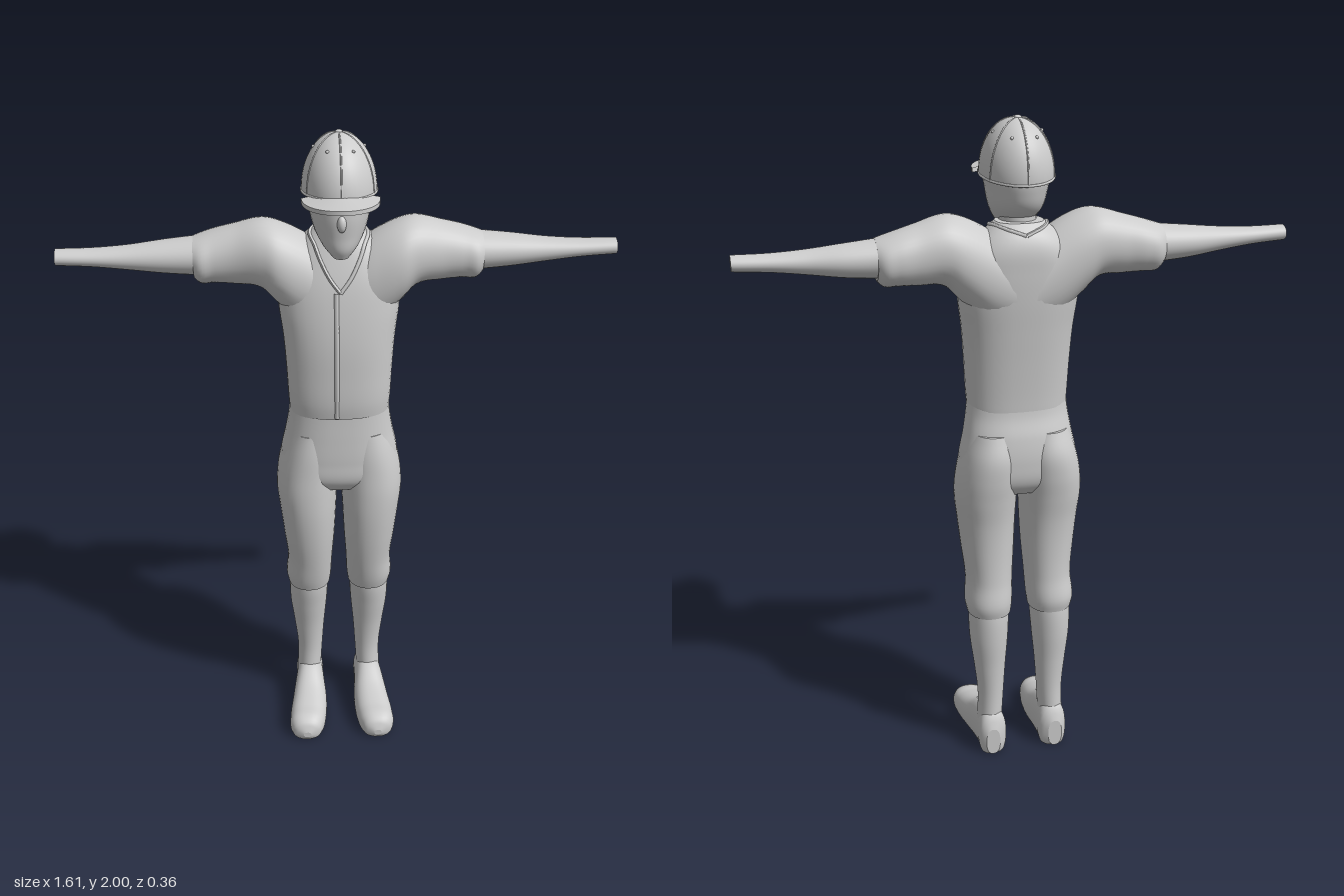
import * as THREE from 'three';

const fabric = new THREE.MeshStandardMaterial({ color: 0xcccccc, side: THREE.DoubleSide });
fabric.name = 'light grey';

// Smoothly interpolates cross-sections [t, a0, a1, b0, b1] at any t
function sampler(sections) {
  const curve = new THREE.CubicInterpolant(
    sections.map(s => s[0]), sections.flatMap(s => s.slice(1)), 4, new Float32Array(4));
  return t => Array.from(curve.evaluate(t));
}

// Skins superelliptic rings along an axis: y uses (x, z), x uses (y, z), z uses (x, y)
function loft(sections, axis, power = 2.2, steps = 36, sides = 36) {
  const at = sampler(sections);
  const t0 = sections[0][0], t1 = sections[sections.length - 1][0];
  const place = {
    x: (t, a, b) => [t, a, b],
    y: (t, a, b) => [a, t, b],
    z: (t, a, b) => [a, b, t],
  }[axis];
  const pos = [], index = [];
  const tri = (a, b, c) => (axis === 'y' ? index.push(a, c, b) : index.push(a, b, c));
  const bend = v => Math.sign(v) * Math.abs(v) ** (2 / power);
  const ring = t => {
    const [a0, a1, b0, b1] = at(t), start = pos.length / 3;
    for (let j = 0; j < sides; j++) {
      const q = j / sides * Math.PI * 2;
      pos.push(...place(t, (a0 + a1) / 2 + bend(Math.cos(q)) * (a1 - a0) / 2,
        (b0 + b1) / 2 + bend(Math.sin(q)) * (b1 - b0) / 2));
    }
    return start;
  };
  for (let i = 0; i <= steps; i++) {
    const r = ring(t0 + (t1 - t0) * i / steps);
    for (let j = 0; i > 0 && j < sides; j++) {
      const k = (j + 1) % sides, p = r - sides;
      tri(p + j, p + k, r + k);
      tri(p + j, r + k, r + j);
    }
  }
  // End caps have their own corners so the rim stays crisp
  for (const t of [t0, t1]) {
    const r = ring(t), [a0, a1, b0, b1] = at(t), c = pos.length / 3;
    pos.push(...place(t, (a0 + a1) / 2, (b0 + b1) / 2));
    for (let j = 0; j < sides; j++) {
      const k = (j + 1) % sides;
      if (t === t0) tri(c, r + k, r + j); else tri(c, r + j, r + k);
    }
  }
  const g = new THREE.BufferGeometry();
  g.setAttribute('position', new THREE.Float32BufferAttribute(pos, 3));
  g.setIndex(index);
  g.computeVertexNormals();
  return g;
}

// Mirrors a geometry to the other side and restores its winding
function mirrored(geometry) {
  const g = geometry.clone().scale(-1, 1, 1), ix = g.index;
  for (let i = 0; i < ix.count; i += 3) {
    const a = ix.getX(i);
    ix.setX(i, ix.getX(i + 1));
    ix.setX(i + 1, a);
  }
  g.computeVertexNormals();
  return g;
}

// Shorthand for sections symmetric about x = 0: [y, halfWidth, back, front]
const centred = rows => rows.map(([y, w, b, f]) => [y, -w, w, b, f]);

const TORSO = centred([
  [1.16, .150, -.140, .058], [1.20, .153, -.142, .064], [1.30, .158, -.150, .066],
  [1.40, .165, -.160, .064], [1.50, .177, -.170, .053], [1.58, .178, -.174, .037],
  [1.65, .140, -.172, .015], [1.69, .100, -.155, .000], [1.715, .070, -.130, -.010]]);
const PELVIS = centred([
  [.895, .150, -.130, .030], [.93, .178, -.155, .052], [1.0, .180, -.165, .057],
  [1.08, .164, -.158, .056], [1.14, .154, -.142, .054], [1.19, .149, -.136, .053]]);
const NECK = centred([[1.60, .060, -.120, -.005], [1.68, .054, -.110, .005], [1.78, .055, -.110, .010]]);
const HEAD = centred([
  [1.675, .022, .025, .072], [1.70, .048, -.055, .084], [1.74, .072, -.125, .088],
  [1.80, .087, -.158, .093], [1.86, .094, -.160, .086], [1.93, .060, -.110, .040]]);
const THIGH = [
  [.49, .030, .165, -.153, .002], [.52, .026, .171, -.160, .012], [.60, .022, .166, -.150, .030],
  [.70, .015, .176, -.147, .048], [.80, .010, .187, -.152, .059], [.88, .006, .195, -.164, .061],
  [.95, .003, .190, -.174, .058], [1.02, .004, .174, -.175, .054], [1.09, .015, .150, -.154, .045]];
const CALF = [
  [.10, .062, .140, -.138, -.040], [.20, .056, .138, -.136, -.045], [.30, .049, .148, -.141, -.036],
  [.40, .040, .160, -.150, -.018], [.47, .036, .162, -.152, -.005], [.53, .036, .160, -.148, .000]];
const SHOE = [
  [-.155, .080, .125, .000, .090], [-.14, .060, .140, -.020, .130], [-.09, .055, .143, -.020, .146],
  [-.04, .052, .150, -.020, .138], [.03, .047, .162, -.020, .105], [.10, .052, .172, -.020, .085],
  [.15, .065, .170, -.015, .075], [.175, .085, .150, .000, .055], [.182, .105, .130, .015, .035]];
const SLEEVE = [
  [.02, 1.40, 1.64, -.170, .020], [.10, 1.43, 1.70, -.175, .033], [.18, 1.50, 1.737, -.178, .034],
  [.22, 1.54, 1.742, -.176, .020], [.30, 1.55, 1.722, -.172, -.005], [.36, 1.553, 1.705, -.175, -.012],
  [.40, 1.555, 1.692, -.170, -.012], [.415, 1.57, 1.687, -.157, -.023]];
const FOREARM = [
  [.38, 1.575, 1.69, -.160, -.022], [.50, 1.584, 1.678, -.148, -.033], [.60, 1.597, 1.667, -.130, -.042],
  [.70, 1.609, 1.661, -.120, -.047], [.806, 1.616, 1.661, -.113, -.050]];

export function createModel() {
  const model = new THREE.Group();
  model.name = 'capped player';
  const add = (name, geometry, parent = model) => {
    const m = new THREE.Mesh(geometry, fabric);
    m.name = name;
    parent.add(m);
    return m;
  };
  const pair = (name, geometry) => {
    add('left ' + name, geometry);
    add('right ' + name, mirrored(geometry));
  };
  const tube = (points, radius, steps = 32) => new THREE.TubeGeometry(
    new THREE.CatmullRomCurve3(points.map(p => new THREE.Vector3(...p))), steps, radius, 6);

  // Body and head
  add('shirt', loft(TORSO, 'y', 2.4));
  add('hips', loft(PELVIS, 'y', 2.4));
  add('neck', loft(NECK, 'y', 2, 8));
  add('head', loft(HEAD, 'y', 2.1));
  const nose = add('nose', new THREE.SphereGeometry(1, 16, 12));
  nose.scale.set(.013, .024, .016);
  nose.position.set(0, 1.785, .09);

  // Limbs
  pair('sleeve', loft(SLEEVE, 'x', 2.1, 44));
  pair('forearm', loft(FOREARM, 'x', 2));
  pair('trouser leg', loft(THIGH, 'y', 2.15, 44));
  pair('calf', loft(CALF, 'y', 2));
  const shoe = loft(SHOE, 'z', 2.4, 44), sp = shoe.attributes.position;
  for (let i = 0; i < sp.count; i++) sp.setY(i, Math.max(0, sp.getY(i))); // flat sole
  shoe.computeVertexNormals();
  pair('shoe', shoe);

  // Shirt trim follows the chest surface
  const torsoAt = sampler(TORSO);
  const chest = (x, y) => {
    const [, w, back, front] = torsoAt(y);
    return [x, y, (back + front) / 2 + (front - back) / 2 * (1 - Math.abs(x / w) ** 2.4) ** (1 / 2.4)];
  };
  add('front placket', tube([1.165, 1.25, 1.35, 1.45, 1.56].map(y => chest(-.012, y)), .007));
  pair('neckline trim', tube([
    chest(0, 1.56), chest(.03, 1.60), chest(.056, 1.65), chest(.07, 1.685),
    [.083, 1.705, -.06], [.055, 1.702, -.130], [0, 1.685, -.158]], .006, 48));

  // Cap crown with seams, eyelets, rim and button
  const cap = new THREE.Group();
  cap.name = 'cap';
  cap.position.set(0, 1.84, -.04);
  cap.rotation.x = -.1;
  model.add(cap);
  const R = [.106, .157, .136];
  const dome = (angle, rise) => [
    R[0] * Math.sin(angle) * Math.cos(rise), R[1] * Math.sin(rise), R[2] * Math.cos(angle) * Math.cos(rise)];
  add('crown', new THREE.SphereGeometry(1, 48, 20, 0, Math.PI * 2, 0, Math.PI / 2).scale(...R), cap);
  for (let i = 0; i < 6; i++) {
    const angle = i * Math.PI / 3;
    const arc = [0, .2, .4, .6, .8, 1].map(f => dome(angle, f * Math.PI / 2));
    add('crown seam', tube(arc, .0025, 24), cap);
    add('eyelet', new THREE.SphereGeometry(.005, 8, 6), cap).position.set(...dome(angle + Math.PI / 6, .85));
  }
  const rim = add('crown rim', new THREE.TorusGeometry(1, .025, 8, 48).rotateX(Math.PI / 2), cap);
  rim.scale.set(R[0], .16, R[2]);
  const button = add('button', new THREE.SphereGeometry(.011, 12, 8), cap);
  button.scale.y = .5;
  button.position.y = R[1];

  // Brim droops toward its edge, most at the sides
  const brim = new THREE.CylinderGeometry(1, 1, .012, 32, 1, false, -Math.PI / 2, Math.PI);
  const bp = brim.attributes.position;
  for (let i = 0; i < bp.count; i++) {
    const x = bp.getX(i), z = bp.getZ(i);
    bp.setY(i, bp.getY(i) - .014 * (x * x + z * z) - .008 * x * x);
  }
  brim.scale(.108, 1, .13);
  brim.computeVertexNormals();
  add('brim', brim).position.set(0, 1.86, .042);

  return model;
}
